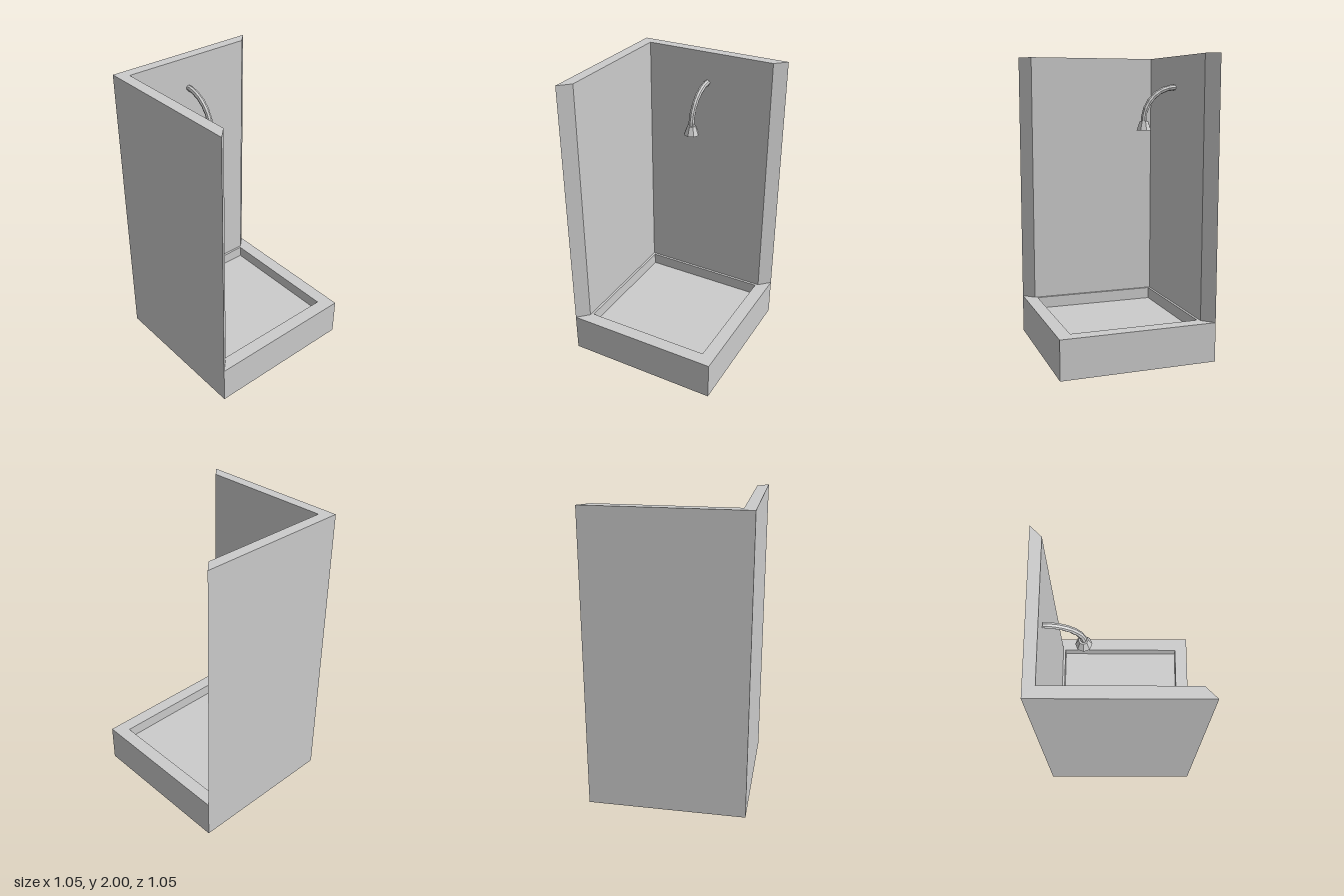
import * as THREE from 'three';

const HALF = 0.527;   // outer half width of the stall
const INNER = 0.453;  // inner face of the walls
const BASIN = 0.436;  // half width of the basin recess
const RIM_Y = 0.265, FLOOR_Y = 0.185, TOP_Y = 2;

const material = new THREE.MeshStandardMaterial({ color: 0xcccccc, flatShading: true });
const openMaterial = new THREE.MeshStandardMaterial({ color: 0xcccccc, flatShading: true, side: THREE.DoubleSide });

function addMesh(parent, name, geometry, mat = material) {
  const mesh = new THREE.Mesh(geometry, mat);
  mesh.name = name;
  parent.add(mesh);
  return mesh;
}

// Plan outline given as [x, z] corners
const outline = (points) => points.map(([x, z]) => new THREE.Vector2(x, -z));
const square = (h) => outline([[-h, h], [h, h], [h, -h], [-h, -h]]);

// Raises a plan shape from y0 to y1
function raise(shape, y0, y1) {
  return new THREE.ExtrudeGeometry(shape, { depth: y1 - y0, bevelEnabled: false })
    .rotateX(-Math.PI / 2)
    .translate(0, y0, 0);
}

export function createModel() {
  const model = new THREE.Group();
  model.name = 'showerStall';

  // Tray: solid base with a raised rim around the recess
  const tray = new THREE.Group();
  tray.name = 'tray';
  model.add(tray);
  addMesh(tray, 'trayBase', raise(new THREE.Shape(square(HALF)), 0, FLOOR_Y));
  const rim = new THREE.Shape(square(HALF));
  rim.holes.push(new THREE.Path(square(BASIN)));
  addMesh(tray, 'trayRim', raise(rim, FLOOR_Y, RIM_Y));

  // Two walls meeting in the back right corner, with mitred free ends
  const walls = new THREE.Shape(outline([
    [-HALF, HALF], [-INNER, INNER], [-INNER, -INNER],
    [INNER, -INNER], [HALF, -HALF], [-HALF, -HALF],
  ]));
  addMesh(model, 'walls', raise(walls, RIM_Y, TOP_Y));

  // Shower fitting on the back wall
  const shower = new THREE.Group();
  shower.name = 'shower';
  shower.position.x = -0.01;
  model.add(shower);

  // Curved arm, with slight swellings along its length
  const bend = 0.23, steps = 12, sides = 8;
  const path = new THREE.CatmullRomCurve3(Array.from({ length: 9 }, (_, i) => {
    const a = (i / 8) * Math.PI / 2;
    return new THREE.Vector3(0, 1.56 + bend * Math.cos(a), -INNER + bend * Math.sin(a));
  }));
  const arm = new THREE.TubeGeometry(path, steps, 0.02, sides);
  const pos = arm.attributes.position, p = new THREE.Vector3();
  for (let i = 0; i < pos.count; i++) {
    const ring = Math.floor(i / (sides + 1));
    const centre = path.getPointAt(ring / steps);
    p.fromBufferAttribute(pos, i).sub(centre).multiplyScalar(ring % 2 ? 1.05 : 0.92).add(centre);
    pos.setXYZ(i, p.x, p.y, p.z);
  }
  addMesh(shower, 'showerArm', arm, openMaterial);

  // Eight-sided flared head
  addMesh(shower, 'showerHead', new THREE.CylinderGeometry(0.03, 0.053, 0.062, 8))
    .position.set(0, 1.531, -0.225);

  return model;
}
